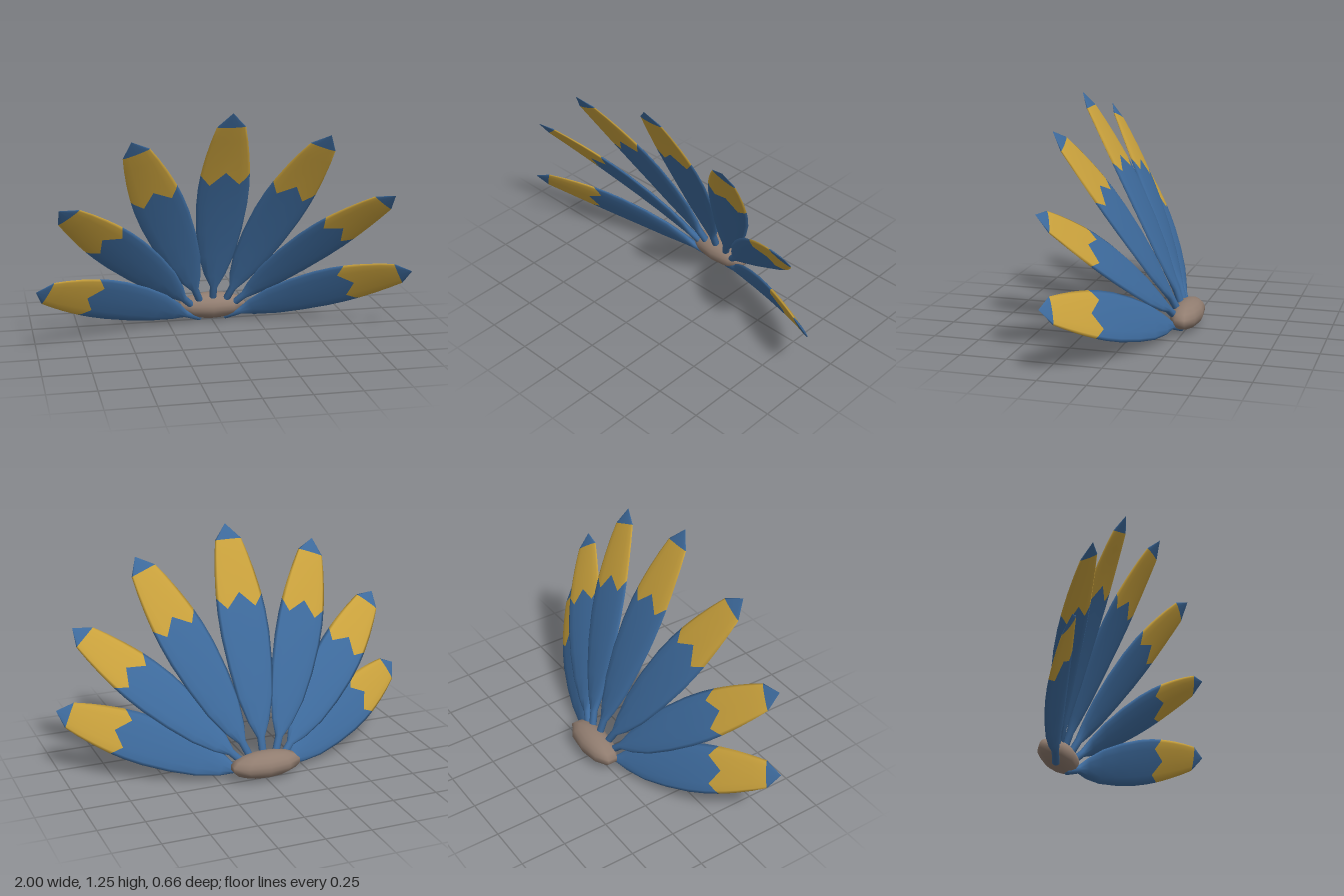
import * as THREE from 'three';

const blue = new THREE.MeshStandardMaterial({ color: 0x3d6a9c });
blue.name = 'feather blue';
const gold = new THREE.MeshStandardMaterial({ color: 0xc9a13c });
gold.name = 'feather gold';
const brown = new THREE.MeshStandardMaterial({ color: 0x917d70 });
brown.name = 'base brown';

// Feather profile: [position along length, half width, half thickness]
const PROFILE = [
  [0, 0, 0], [0.002, 0.02, 0.02], [0.09, 0.021, 0.02], [0.155, 0.06, 0.019], [0.26, 0.1, 0.018],
  [0.39, 0.125, 0.017], [0.52, 0.138, 0.016], [0.61, 0.138, 0.015], [0.67, 0.133, 0.014],
  [0.72, 0.126, 0.013], [0.78, 0.115, 0.012], [0.86, 0.096, 0.01], [0.93, 0.075, 0.008], [1, 0, 0],
];
const GOLD_ROW = 8, TIP_ROW = 12;
// Cross-section positions across the width, and the zigzag shift of the gold edge at each
const ACROSS = [1, 0.88, 0.58, 0, -0.58, -0.88];
const zigzag = (u) => {
  const a = Math.abs(u);
  return a < 0.58 ? 0.03 - 0.065 * a / 0.58 : -0.035 + 0.05 * (a - 0.58) / 0.42;
};
const zigzagWeight = { 6: 0.2, 7: 0.6, 8: 1, 9: 0.7, 10: 0.3 };

function profileAt(t) {
  let i = 1;
  while (i < PROFILE.length - 1 && PROFILE[i][0] < t) i++;
  const a = PROFILE[i - 1], b = PROFILE[i];
  const k = (t - a[0]) / (b[0] - a[0]);
  return [a[1] + (b[1] - a[1]) * k, a[2] + (b[2] - a[2]) * k];
}

// One lens-section feather swept from base to tip, bowed backwards in the middle
function featherGeometry(base, tip, side, widthScale) {
  const along = tip.clone().sub(base);
  const d = along.clone().normalize();
  const w = side.clone().addScaledVector(d, -side.dot(d)).normalize();
  const n = new THREE.Vector3().crossVectors(w, d);
  const ring = [...ACROSS.map((u) => [u, 1]), ...ACROSS.map((u) => [-u, -1])];
  const pos = [], index = [], count = ring.length;

  PROFILE.forEach(([t0], row) => {
    for (const [u, face] of ring) {
      const t = t0 + zigzag(u) * (zigzagWeight[row] || 0);
      const [hw, ht] = profileAt(t);
      const p = base.clone().addScaledVector(along, t)
        .addScaledVector(w, u * hw * widthScale)
        .addScaledVector(n, face * Math.sqrt(1 - u * u) * ht - 0.14 * t * (1 - t));
      pos.push(p.x, p.y, p.z);
    }
  });
  for (let j = 0; j < PROFILE.length - 1; j++) {
    for (let i = 0; i < count; i++) {
      const a = j * count + i, b = j * count + (i + 1) % count;
      index.push(a, a + count, b, b, a + count, b + count);
    }
  }
  const geo = new THREE.BufferGeometry();
  geo.setAttribute('position', new THREE.Float32BufferAttribute(pos, 3));
  geo.setIndex(index);
  geo.computeVertexNormals();
  // Blue blade, gold band, blue tip
  const per = count * 6;
  geo.addGroup(0, GOLD_ROW * per, 0);
  geo.addGroup(GOLD_ROW * per, (TIP_ROW - GOLD_ROW) * per, 1);
  geo.addGroup(TIP_ROW * per, (PROFILE.length - 1 - TIP_ROW) * per, 0);
  return geo;
}

export function createModel() {
  const model = new THREE.Group();
  model.name = 'featherFan';

  // Rounded base holding the stems
  const root = new THREE.SphereGeometry(1, 10, 9);
  root.rotateY(Math.PI / 10);
  root.scale(0.2, 0.073, 0.085);
  const baseMesh = new THREE.Mesh(root, brown);
  baseMesh.name = 'fanBase';
  baseMesh.position.set(0, 0.083, -0.25);
  model.add(baseMesh);

  // Fan of feathers: centre one, then mirrored pairs
  const feathers = [
    { name: 'centre', base: [0, 0.1, -0.225], tip: [0, 1.255, 0.33], side: [1, 0, 0], width: 1 },
    { name: 'upper', base: [0.065, 0.1, -0.22], tip: [0.513, 1.125, 0.32], side: [0.13, -0.047, -0.015], width: 0.98 },
    { name: 'middle', base: [0.1, 0.08, -0.22], tip: [0.878, 0.785, 0.285], side: [0.1, -0.08, -0.045], width: 0.95 },
    { name: 'lower', base: [0.07, 0.02, -0.235], tip: [1, 0.355, 0.233], side: [0.065, -0.12, -0.042], width: 0.95 },
  ];
  for (const f of feathers) {
    for (const s of f.name === 'centre' ? [1] : [1, -1]) {
      const geo = featherGeometry(
        new THREE.Vector3(s * f.base[0], f.base[1], f.base[2]),
        new THREE.Vector3(s * f.tip[0], f.tip[1], f.tip[2]),
        new THREE.Vector3(f.side[0], s * f.side[1], s * f.side[2]), f.width);
      const mesh = new THREE.Mesh(geo, [blue, gold]);
      mesh.name = f.name + (f.name === 'centre' ? '' : s > 0 ? 'Left' : 'Right') + 'Feather';
      model.add(mesh);
    }
  }
  return model;
}
